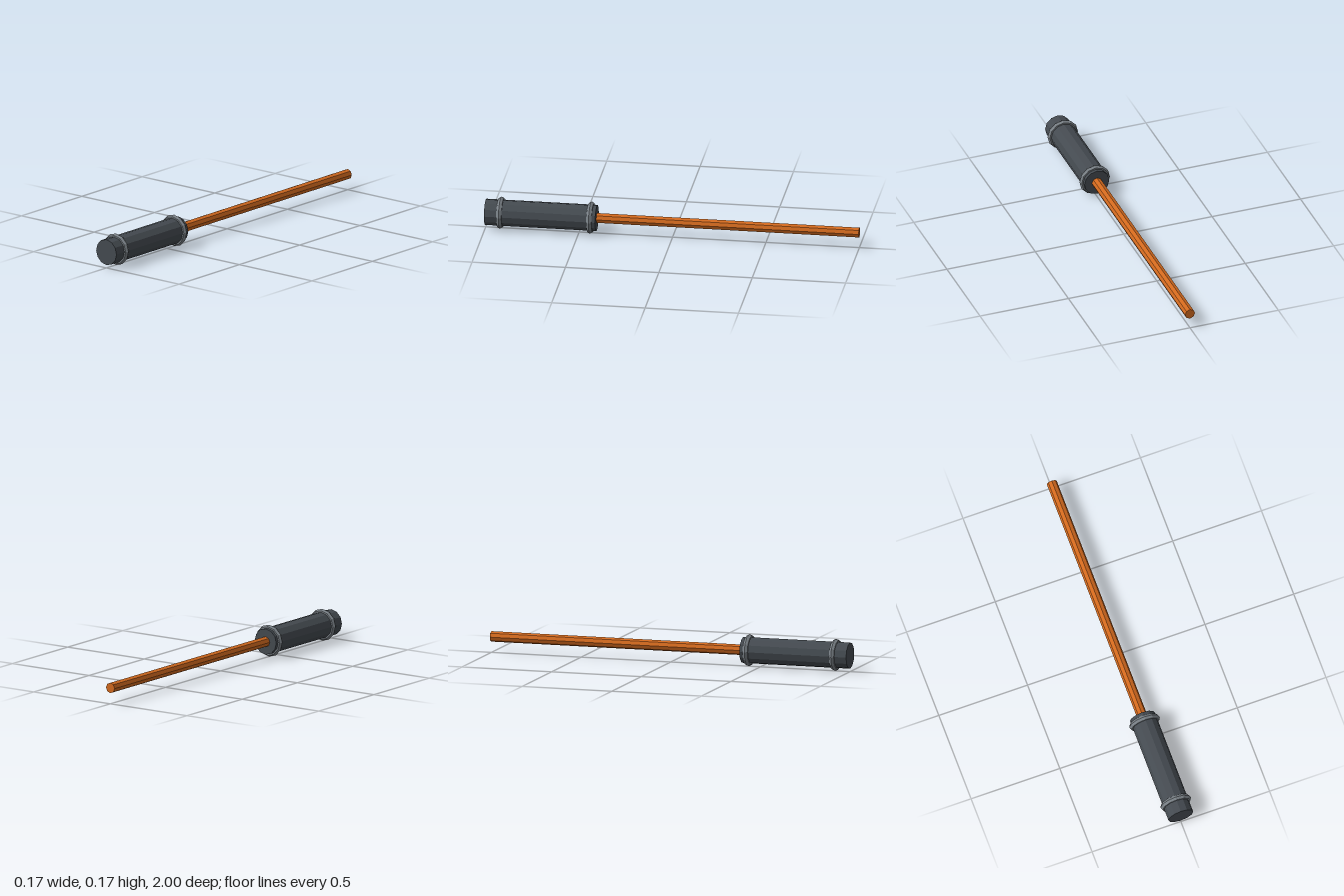
import * as THREE from 'three';

const AXIS_Y = 0.086;

const paint = (color) => new THREE.MeshStandardMaterial({ color, flatShading: true });

export function createModel() {
  const group = new THREE.Group();
  const gripPaint = paint(0x444a50);
  const ringPaint = paint(0x798086);
  const rodPaint = paint(0xd2691e);

  // Faceted cylinder lying along z between two depths
  function bar(name, radius, sides, z0, z1, material) {
    const geometry = new THREE.CylinderGeometry(radius, radius, z1 - z0, sides).rotateX(Math.PI / 2);
    const mesh = new THREE.Mesh(geometry, material);
    mesh.name = name;
    mesh.position.set(0, AXIS_Y, (z0 + z1) / 2);
    group.add(mesh);
  }

  bar('rod', 0.028, 8, -1, 0.42, rodPaint);
  bar('handle', 0.07, 12, 0.405, 1, gripPaint);

  // Raised collars near both ends of the handle
  for (const [name, z] of [['frontRing', 0.92], ['backRing', 0.438]]) {
    const ring = new THREE.Mesh(new THREE.TorusGeometry(0.07, 0.016, 6, 12), ringPaint);
    ring.name = name;
    ring.position.set(0, AXIS_Y, z);
    group.add(ring);
  }

  return group;
}
